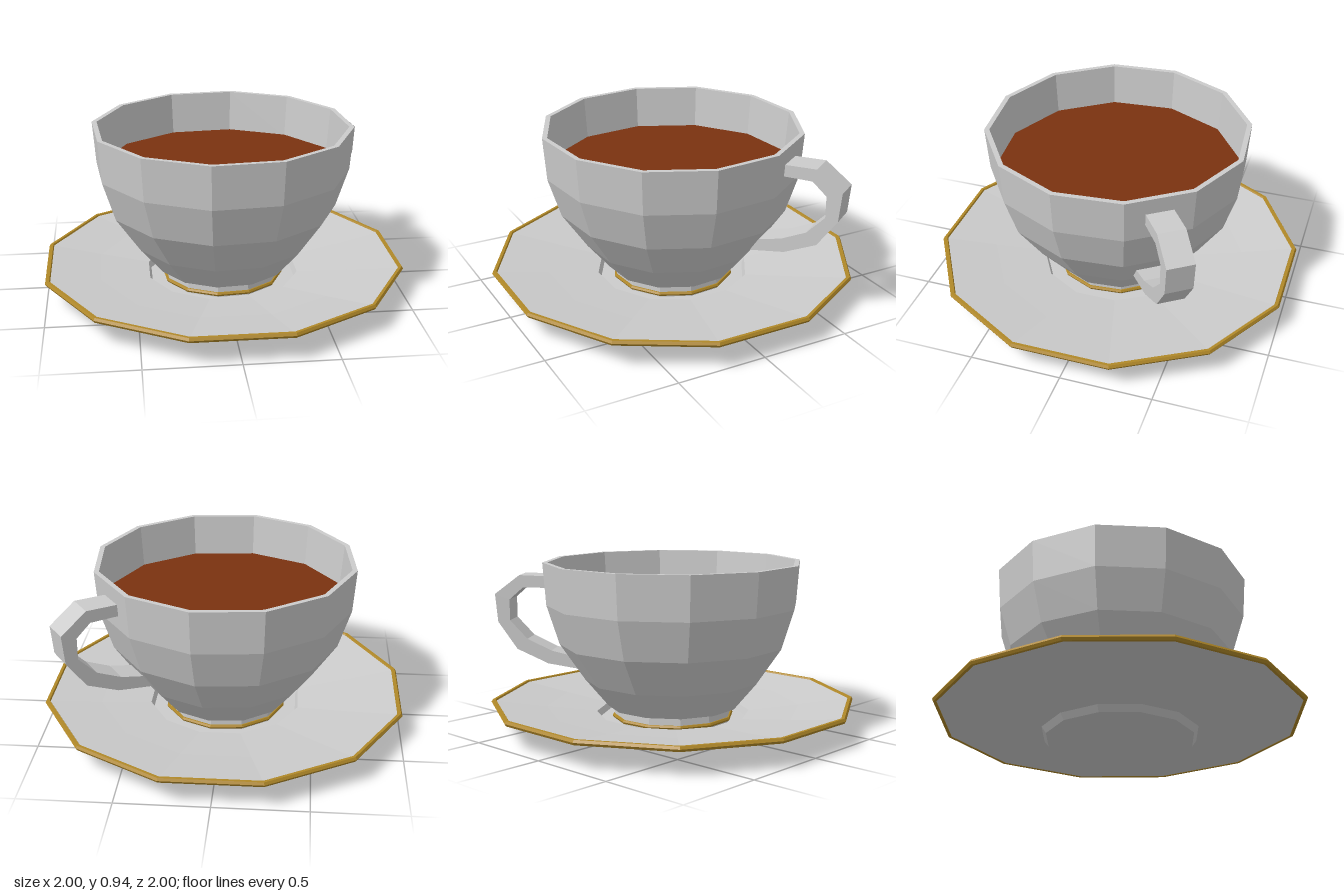
import * as THREE from 'three';

const SIDES = 12;
const deg = THREE.MathUtils.degToRad;

const material = (color) => new THREE.MeshStandardMaterial({ color, flatShading: true });

export function createModel() {
  const china = material(0xcccccc);
  const gold = material(0xb08828);
  const tea = material(0x7a3210);

  const model = new THREE.Group();
  model.name = 'teacupAndSaucer';

  const add = (parent, name, geometry, mat) => {
    const mesh = new THREE.Mesh(geometry, mat);
    mesh.name = name;
    parent.add(mesh);
    return mesh;
  };
  // Twelve-sided turned body from [radius, height] pairs
  const turned = (profile) =>
    new THREE.LatheGeometry(profile.map(([r, y]) => new THREE.Vector2(r, y)), SIDES);
  // Twelve-sided band whose corners match the turned bodies
  const band = (radius, tube, y) =>
    new THREE.TorusGeometry(radius, tube, 6, SIDES).rotateX(Math.PI / 2).translate(0, y, 0);

  // Saucer: foot, sloping underside, gilded edge and sunken well
  const saucer = new THREE.Group();
  saucer.name = 'saucer';
  saucer.rotation.y = deg(15);
  model.add(saucer);
  add(saucer, 'saucerDish', turned([
    [0, 0], [0.415, 0.01], [0.44, 0.045], [0.72, 0.082], [1.02, 0.135],
    [1.02, 0.152], [0.72, 0.115], [0.435, 0.085], [0.42, 0.05], [0, 0.05],
  ]), china);
  add(saucer, 'saucerRim', band(1.02, 0.016, 0.145), gold);

  // Cup: foot, bowl, lip and inner wall, turned against the saucer
  const cup = new THREE.Group();
  cup.name = 'cup';
  cup.rotation.y = deg(20);
  model.add(cup);
  add(cup, 'cupBowl', turned([
    [0, 0.05], [0.335, 0.05], [0.33, 0.125], [0.37, 0.125], [0.5, 0.28],
    [0.64, 0.485], [0.71, 0.705], [0.728, 0.945], [0.7, 0.945],
    [0.68, 0.705], [0.61, 0.49], [0.47, 0.29], [0.33, 0.16], [0, 0.16],
  ]), china);
  add(cup, 'footBand', band(0.335, 0.012, 0.068), gold);
  add(cup, 'tea', turned([[0.683, 0.712], [0, 0.712]]), tea);

  // Handle: angular loop, outer edge then back along the inner edge
  const outline = new THREE.Shape([
    [0.68, 0.855], [0.87, 0.86], [1.015, 0.75], [1.0, 0.59], [0.89, 0.435],
    [0.71, 0.355], [0.51, 0.325], [0.56, 0.4], [0.69, 0.43], [0.83, 0.495],
    [0.93, 0.6], [0.93, 0.72], [0.85, 0.79], [0.68, 0.79],
  ].map(([x, y]) => new THREE.Vector2(x, y)));
  const width = 0.15;
  const handleGeometry = new THREE.ExtrudeGeometry(outline, { depth: width, bevelEnabled: false });
  handleGeometry.translate(0, 0, -width / 2);
  const handle = add(model, 'handle', handleGeometry, china);
  handle.rotation.y = deg(35);

  return model;
}
